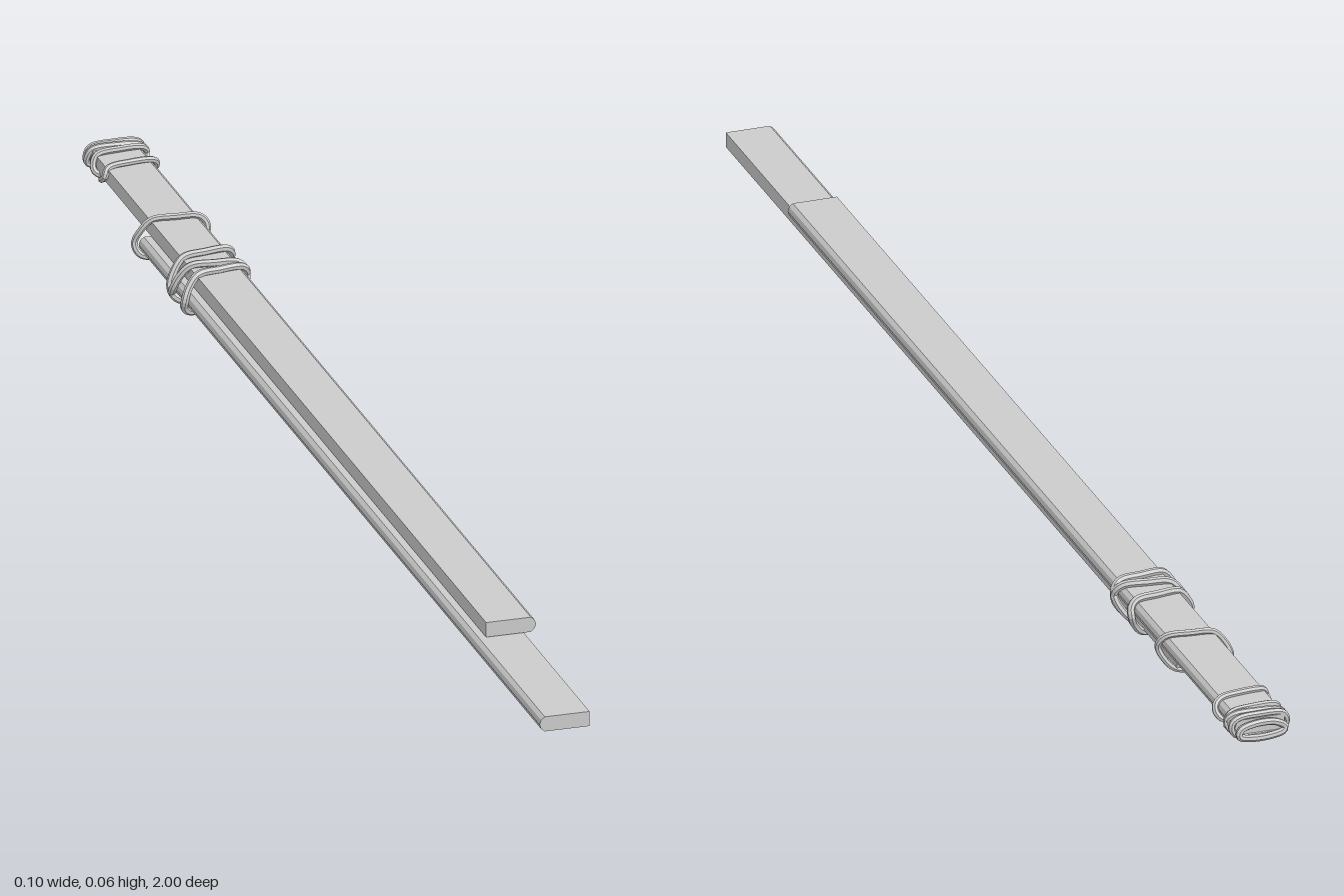
import * as THREE from 'three';

const mat = new THREE.MeshStandardMaterial({ color: 0xcccccc, flatShading: true });

// Flat slat with one rounded edge (side = +1 for +x, -1 for -x)
function slat(name, x0, x1, y0, y1, z0, z1, side) {
  const w = (x1 - x0) / 2, h = y1 - y0, b = 0.007;
  const pts = [[-w, 0], [w - b, 0], [w - 0.002, h * 0.2], [w, h * 0.5], [w - 0.002, h * 0.8], [w - b, h], [-w, h]]
    .map(([x, y]) => new THREE.Vector2(x * side, y));
  const geo = new THREE.ExtrudeGeometry(new THREE.Shape(pts), { depth: z1 - z0, bevelEnabled: false });
  const mesh = new THREE.Mesh(geo, mat);
  mesh.position.set((x0 + x1) / 2, y0, z0);
  mesh.name = name;
  return mesh;
}

// Closed cord: zs alternates left-edge and right-edge positions; each pass
// crosses over the top (even steps) or under the bottom (odd steps).
function cord(name, top, bottom, zs, radius) {
  const pts = [];
  zs.forEach((za, i) => {
    const zb = zs[(i + 1) % zs.length];
    const run = i % 2 === 0 ? top : bottom;
    run.forEach(([x, y], k) => {
      pts.push(new THREE.Vector3(x, y, za + (zb - za) * (k / run.length)));
    });
  });
  const curve = new THREE.CatmullRomCurve3(pts, true, 'centripetal');
  const mesh = new THREE.Mesh(new THREE.TubeGeometry(curve, pts.length * 5, radius, 7, true), mat);
  mesh.name = name;
  return mesh;
}

export function createModel() {
  const g = new THREE.Group();
  g.name = 'lashedSlats';

  // Two overlapping slats
  g.add(slat('lowerSlat', -0.043, 0.025, 0.013, 0.0335, -0.72, 1.0, -1));
  g.add(slat('upperSlat', -0.027, 0.041, 0.0345, 0.055, -0.985, 0.72, 1));

  // Cord outline around both slats
  const top = [[-0.047, 0.026], [-0.040, 0.042], [-0.026, 0.057], [0.005, 0.059], [0.036, 0.058], [0.045, 0.050]];
  const bottom = [[0.046, 0.040], [0.040, 0.026], [0.025, 0.010], [-0.010, 0.0065], [-0.038, 0.008], [-0.046, 0.016]];
  g.add(cord('endTie', top, bottom, [-0.725, -0.705], 0.0045));
  g.add(cord('middleLashing', top, bottom, [-0.51, -0.54, -0.572, -0.605, -0.56, -0.537], 0.0053));

  // Cord outline around the upper slat only
  const tipTop = [[-0.032, 0.046], [-0.026, 0.056], [0.007, 0.059], [0.036, 0.057], [0.0445, 0.051]];
  const tipBottom = [[0.0455, 0.043], [0.038, 0.034], [0.007, 0.031], [-0.025, 0.033], [-0.032, 0.038]];
  g.add(cord('tipLashing', tipTop, tipBottom, [-0.90, -0.925, -0.95, -0.968, -0.98, -0.985, -0.975, -0.965], 0.0045));

  // Slack turn drooping over the tip
  const tipEnd = cord('tipLoop',
    [[-0.026, 0.040], [-0.012, 0.049], [0.018, 0.050], [0.036, 0.044]],
    [[0.038, 0.036], [0.022, 0.031], [-0.008, 0.031], [-0.024, 0.035]],
    [-0.99, -0.994], 0.005);
  g.add(tipEnd);
  return g;
}
